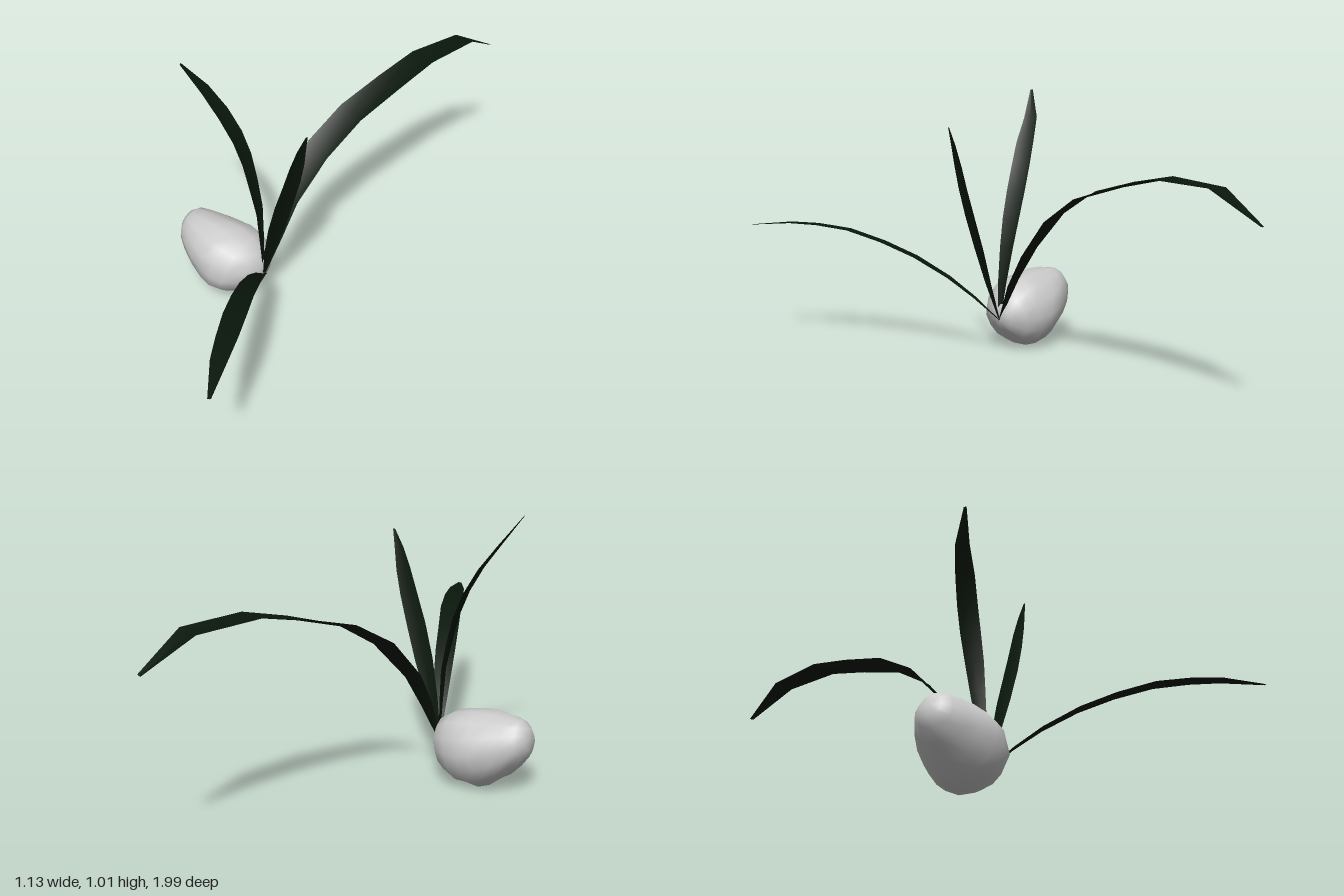
import * as THREE from 'three';
import { mergeVertices } from 'three/addons/utils/BufferGeometryUtils.js';

const huskMaterial = new THREE.MeshStandardMaterial({ color: 0xcccccc });
const leafMaterial = new THREE.MeshStandardMaterial({ color: 0x0a170b, side: THREE.DoubleSide });

// Lumpy seed: a lathe laid along a tilted axis, bulging low in the middle.
function createSeed() {
  const start = new THREE.Vector3(-0.2, 0.13, -0.005);
  const axis = new THREE.Vector3(-0.55, 0.225, -0.165).sub(start);
  const length = axis.length();
  const profile = [[0, 0], [0.045, 0.012], [0.1, 0.05], [0.134, 0.11], [0.145, 0.17], [0.14, 0.22],
    [0.122, 0.28], [0.095, 0.335], [0.07, 0.375], [0.04, 0.395], [0, 0.398]];
  let geo = new THREE.LatheGeometry(profile.map(([r, t]) => new THREE.Vector2(r, t)), 14);
  geo.deleteAttribute('uv');
  geo.deleteAttribute('normal');
  geo = mergeVertices(geo, 1e-4);

  const turn = new THREE.Quaternion().setFromUnitVectors(new THREE.Vector3(0, 1, 0), axis.normalize());
  const pos = geo.attributes.position;
  const v = new THREE.Vector3();
  for (let i = 0; i < pos.count; i++) {
    v.fromBufferAttribute(pos, i);
    const t = v.y / length;
    const angle = Math.atan2(v.z, v.x);
    const lump = 1 + 0.025 * Math.sin(3 * angle + 7 * t) + 0.02 * Math.sin(5 * angle - 11 * t);
    v.x *= lump;
    v.z *= lump;
    v.applyQuaternion(turn).add(start);
    const bulge = Math.sin(Math.PI * Math.min(1, t));
    v.y = Math.max(0, v.y - 0.03 * bulge);
    v.z += 0.012 * bulge;
    pos.setXYZ(i, v.x, v.y, v.z);
  }
  geo.computeVertexNormals();
  const seed = new THREE.Mesh(geo, huskMaterial);
  seed.name = 'seed';
  return seed;
}

// Leaf blade: stations [x, y, z, halfWidth], with a shallow fold along the midrib.
// The width direction blends from sideA at the base to sideB at the tip.
function createLeaf(name, stations, sideA, sideB = sideA) {
  const a = new THREE.Vector3(...sideA);
  const b = new THREE.Vector3(...sideB);
  const points = stations.map(([x, y, z]) => new THREE.Vector3(x, y, z));
  const verts = [];
  const index = [];
  const last = points.length - 1;
  points.forEach((p, i) => {
    const w = stations[i][3];
    const along = points[Math.min(i + 1, last)].clone().sub(points[Math.max(i - 1, 0)]).normalize();
    const side = a.clone().lerp(b, i / last).normalize();
    const up = side.clone().cross(along).normalize();
    for (const s of [-1, 0, 1]) {
      const q = p.clone().addScaledVector(side, s * w).addScaledVector(up, (s === 0 ? -0.1 : 0.06) * w);
      verts.push(q.x, q.y, q.z);
    }
    if (i === last) return;
    for (let k = 0; k < 2; k++) {
      const c = i * 3 + k;
      index.push(c, c + 1, c + 3, c + 1, c + 4, c + 3);
    }
  });
  const geo = new THREE.BufferGeometry();
  geo.setAttribute('position', new THREE.Float32BufferAttribute(verts, 3));
  geo.setIndex(index);
  geo.computeVertexNormals();
  const leaf = new THREE.Mesh(geo, leafMaterial);
  leaf.name = name;
  return leaf;
}

export function createModel() {
  const model = new THREE.Group();
  model.name = 'sproutingSeed';
  model.add(createSeed());

  // Long arching leaf reaching back
  model.add(createLeaf('backLeaf', [
    [-0.205, 0.13, 0, 0.005], [-0.165, 0.29, -0.065, 0.032], [-0.125, 0.42, -0.135, 0.043],
    [-0.04, 0.57, -0.245, 0.055], [0.065, 0.67, -0.37, 0.056], [0.19, 0.73, -0.52, 0.056],
    [0.3, 0.773, -0.66, 0.055], [0.445, 0.768, -0.845, 0.045], [0.55, 0.67, -0.99, 0.009],
  ], [0.8, -0.5, 0.6], [0.8, 0.15, 0.6]));

  // Low arching leaf reaching forward
  model.add(createLeaf('frontLeaf', [
    [-0.202, 0.13, 0, 0.005], [-0.19, 0.22, 0.1, 0.022], [-0.182, 0.295, 0.2, 0.032],
    [-0.175, 0.37, 0.33, 0.038], [-0.168, 0.425, 0.46, 0.04], [-0.158, 0.47, 0.6, 0.042],
    [-0.152, 0.487, 0.73, 0.038], [-0.15, 0.49, 0.84, 0.03], [-0.142, 0.477, 0.995, 0.006],
  ], [-1, -0.1, 0.05]));

  // Tall leaf curving over the seed
  model.add(createLeaf('tallLeaf', [
    [-0.205, 0.13, 0, 0.005], [-0.212, 0.28, -0.01, 0.018], [-0.222, 0.42, -0.025, 0.028],
    [-0.245, 0.53, -0.037, 0.035], [-0.27, 0.63, -0.05, 0.038], [-0.305, 0.72, -0.06, 0.038],
    [-0.355, 0.81, -0.067, 0.036], [-0.42, 0.9, -0.075, 0.027], [-0.5, 1.005, -0.062, 0.005],
  ], [0.2, 0.1, -0.97]));

  // Short upright leaf
  model.add(createLeaf('shortLeaf', [
    [-0.205, 0.13, 0, 0.005], [-0.17, 0.28, 0.035, 0.025], [-0.135, 0.42, 0.062, 0.038],
    [-0.1, 0.55, 0.088, 0.04], [-0.068, 0.66, 0.107, 0.036], [-0.045, 0.75, 0.12, 0.03],
    [-0.025, 0.83, 0.133, 0.018], [-0.004, 0.895, 0.145, 0.004],
  ], [0.75, 0, -0.66]));

  return model;
}
